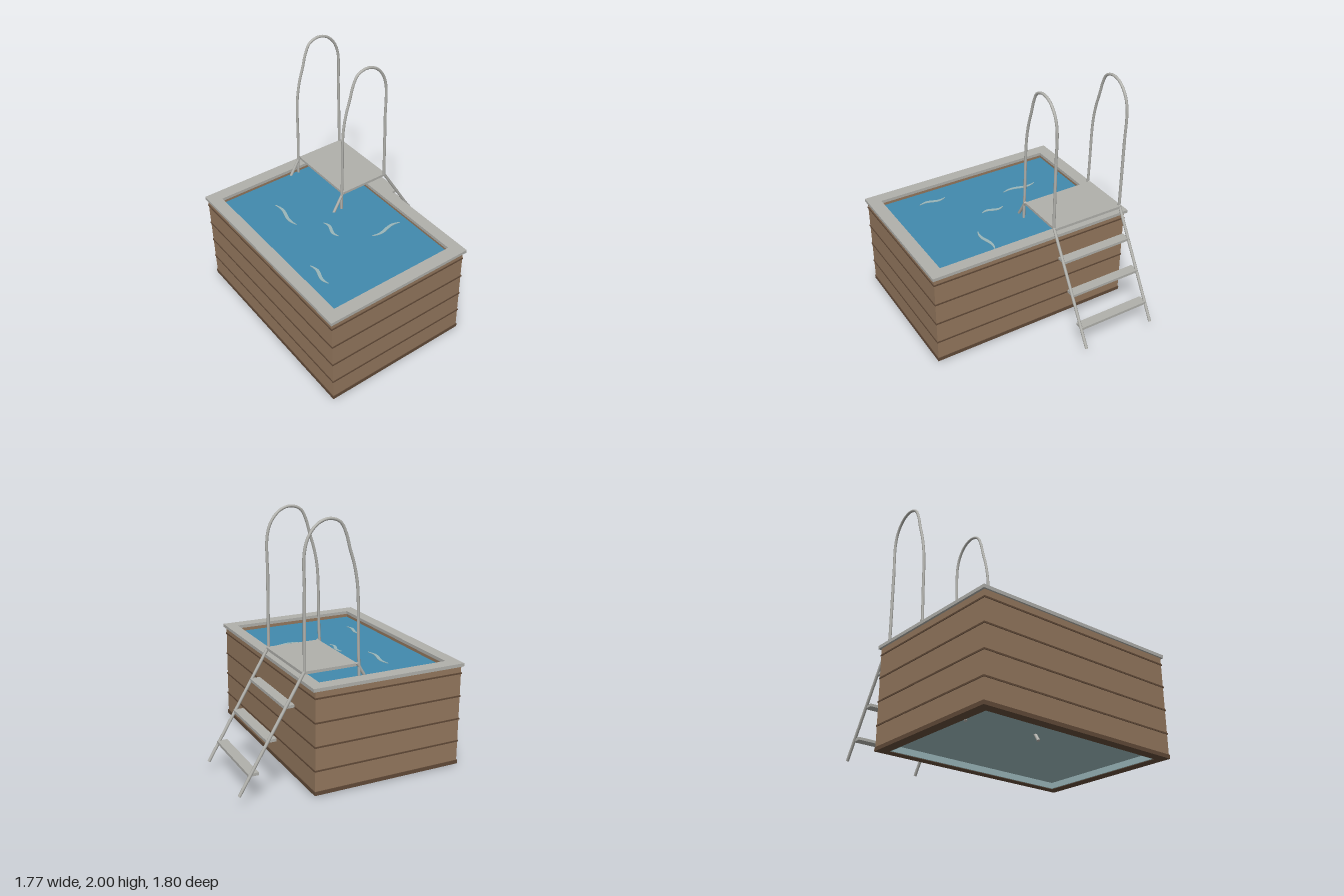
import * as THREE from 'three';

const mat = (name, color) => {
  const m = new THREE.MeshStandardMaterial({ color });
  m.name = name;
  return m;
};

export function createModel() {
  const root = new THREE.Group();
  root.name = 'raisedPool';
  const wood = mat('wood', 0x93775d);
  const darkWood = mat('dark wood', 0x614a38);
  const metal = mat('grey metal', 0xb0b0ab);
  const water = mat('water', 0x4189ad);
  const pale = mat('pale blue', 0x9ab6b9);

  const add = (parent, name, geo, material) => {
    const mesh = new THREE.Mesh(geo, material);
    mesh.name = name;
    parent.add(mesh);
    return mesh;
  };

  // Box given by its limits on each axis
  const block = (parent, name, material, [x0, x1], [y0, y1], [z0, z1]) => {
    const geo = new THREE.BoxGeometry(x1 - x0, y1 - y0, z1 - z0);
    geo.translate((x0 + x1) / 2, (y0 + y1) / 2, (z0 + z1) / 2);
    return add(parent, name, geo, material);
  };

  // Rectangular frame; outer and inner are [half width, back z, front z]
  const corners = ([x, z0, z1]) =>
    [[-x, -z1], [x, -z1], [x, -z0], [-x, -z0]].map((p) => new THREE.Vector2(...p));
  const frame = (parent, name, material, outer, inner, y0, y1) => {
    const shape = new THREE.Shape(corners(outer));
    shape.holes.push(new THREE.Path(corners(inner)));
    const geo = new THREE.ExtrudeGeometry(shape, { depth: y1 - y0, bevelEnabled: false });
    geo.rotateX(-Math.PI / 2).translate(0, y0, 0);
    return add(parent, name, geo, material);
  };

  // Tub: wooden walls, dark plank joints, rim, lining and floor
  const tub = new THREE.Group();
  tub.name = 'tub';
  root.add(tub);
  const cavity = [0.79, -0.278, 0.808];
  frame(tub, 'walls', wood, [0.868, -0.34, 0.884], cavity, 0.015, 0.812);
  frame(tub, 'bottomBand', darkWood, [0.873, -0.345, 0.889], cavity, 0.01, 0.04);
  for (const y of [0.201, 0.385, 0.57, 0.754]) {
    frame(tub, 'plankJoint', darkWood, [0.873, -0.345, 0.889], [0.86, -0.33, 0.875], y - 0.006, y + 0.006);
  }
  frame(tub, 'rim', metal, [0.885, -0.362, 0.898], [0.78, -0.268, 0.798], 0.81, 0.836);
  frame(tub, 'lining', pale, cavity, [0.78, -0.268, 0.798], 0.013, 0.74);
  block(tub, 'floor', pale, [-0.785, 0.785], [0.06, 0.08], [-0.273, 0.803]);
  block(tub, 'water', water, [-0.79, 0.79], [0.74, 0.78], [-0.278, 0.808]);

  // Ripples: thin tapered S-shaped plates on the water
  const ripple = (x, z, length, amp, turn) => {
    const n = 16, top = [], low = [];
    for (let i = 0; i <= n; i++) {
      const t = i / n;
      const u = (t - 0.5) * length;
      const v = amp * Math.sin(2 * Math.PI * t);
      const w = 0.003 + 0.011 * Math.sin(Math.PI * t);
      top.unshift(new THREE.Vector2(u, v + w));
      low.push(new THREE.Vector2(u, v - w));
    }
    const geo = new THREE.ExtrudeGeometry(new THREE.Shape([...low, ...top]), { depth: 0.005, bevelEnabled: false });
    geo.rotateX(-Math.PI / 2);
    const mesh = add(tub, 'ripple', geo, pale);
    mesh.position.set(x, 0.779, z);
    mesh.rotation.y = turn;
  };
  ripple(-0.352, 0.465, 0.31, 0.015, 0);
  ripple(0.017, 0.28, 0.2, 0.014, 0);
  ripple(0.385, 0.65, 0.235, 0.014, 0);
  ripple(0.275, -0.07, 0.275, -0.014, -Math.PI / 2);

  // Ladder: platform, treads, sloping legs and arched handrails
  const ladder = new THREE.Group();
  ladder.name = 'ladder';
  root.add(ladder);
  const left = -0.15, right = -0.777;
  block(ladder, 'platform', metal, [right, left], [0.91, 0.932], [-0.4, 0.038]);
  [0.69, 0.46, 0.23].forEach((y, i) => {
    const z = -0.498 - 0.139 * i;
    block(ladder, 'outerTread', metal, [right, left], [y - 0.011, y + 0.011], [z - 0.04, z + 0.04]);
    const zi = -0.345 - z;
    block(ladder, 'innerTread', metal, [right, left], [y - 0.011, y + 0.011], [zi - 0.04, zi + 0.04]);
  });

  const leg = (name, x, [z0, y0], [z1, y1]) => {
    const geo = new THREE.CylinderGeometry(0.012, 0.012, Math.hypot(z1 - z0, y1 - y0), 12);
    const mesh = add(ladder, name, geo, metal);
    mesh.position.set(x, (y0 + y1) / 2, (z0 + z1) / 2);
    mesh.rotation.x = Math.atan2(z0 - z1, y0 - y1);
  };

  // Handrail path as [z, y]
  const arch = [
    [-0.381, 1.5], [-0.381, 1.78], [-0.345, 1.89], [-0.275, 1.965], [-0.19, 1.989],
    [-0.11, 1.96], [-0.066, 1.88], [-0.036, 1.775], [0, 1.66], [0.026, 1.53],
    [0.037, 1.39], [0.041, 1.2], [0.047, 1.0], [0.054, 0.88], [0.056, 0.775],
  ];
  for (const x of [left, right]) {
    leg('outerLeg', x, [-0.381, 0.935], [-0.887, 0.085]);
    leg('innerLeg', x, [0.037, 0.935], [0.59, 0.007]);
    leg('railPost', x, [-0.381, 1.502], [-0.381, 0.925]);
    const path = new THREE.CatmullRomCurve3(arch.map(([z, y]) => new THREE.Vector3(x, y, z)));
    add(ladder, 'handrail', new THREE.TubeGeometry(path, 80, 0.011, 12), metal);
  }
  return root;
}
